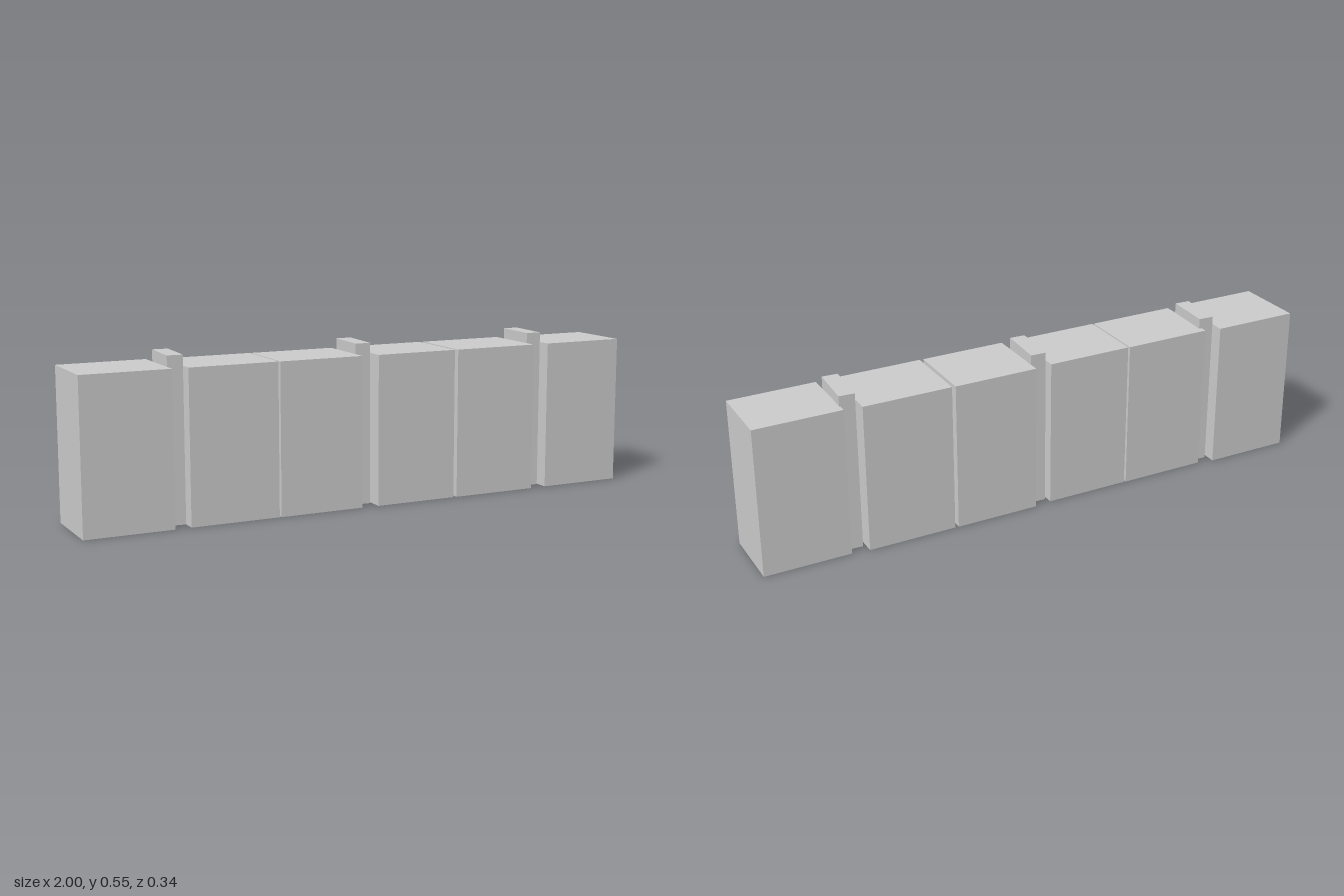
import * as THREE from 'three';

export function createModel() {
  const group = new THREE.Group();
  const material = new THREE.MeshStandardMaterial({ color: 0xcccccc, flatShading: true });

  // Upright box standing on the ground
  function block(name, x, z, width, height, depth, turn = 0) {
    const mesh = new THREE.Mesh(new THREE.BoxGeometry(width, height, depth), material);
    mesh.name = name;
    mesh.position.set(x, height / 2, z);
    mesh.rotation.y = turn;
    group.add(mesh);
  }

  // Wall segments, each turned slightly: x, z, width, depth
  const segments = [
    [-0.844, 0.037, 0.300, 0.249],
    [-0.487, 0.024, 0.306, 0.237],
    [-0.180, 0.009, 0.296, 0.236],
    [0.173, -0.012, 0.292, 0.245],
    [0.484, -0.027, 0.306, 0.245],
    [0.845, -0.043, 0.298, 0.235],
  ];
  segments.forEach(([x, z, w, d], i) => block(`wallSegment${i + 1}`, x, z, w, 0.513, d, 0.052));

  // Taller, narrower posts filling the gaps: x, z
  const posts = [[-0.662, 0.02], [-0.002, -0.013], [0.669, -0.043]];
  posts.forEach(([x, z], i) => block(`post${i + 1}`, x, z, 0.053, 0.548, 0.163));

  return group;
}
